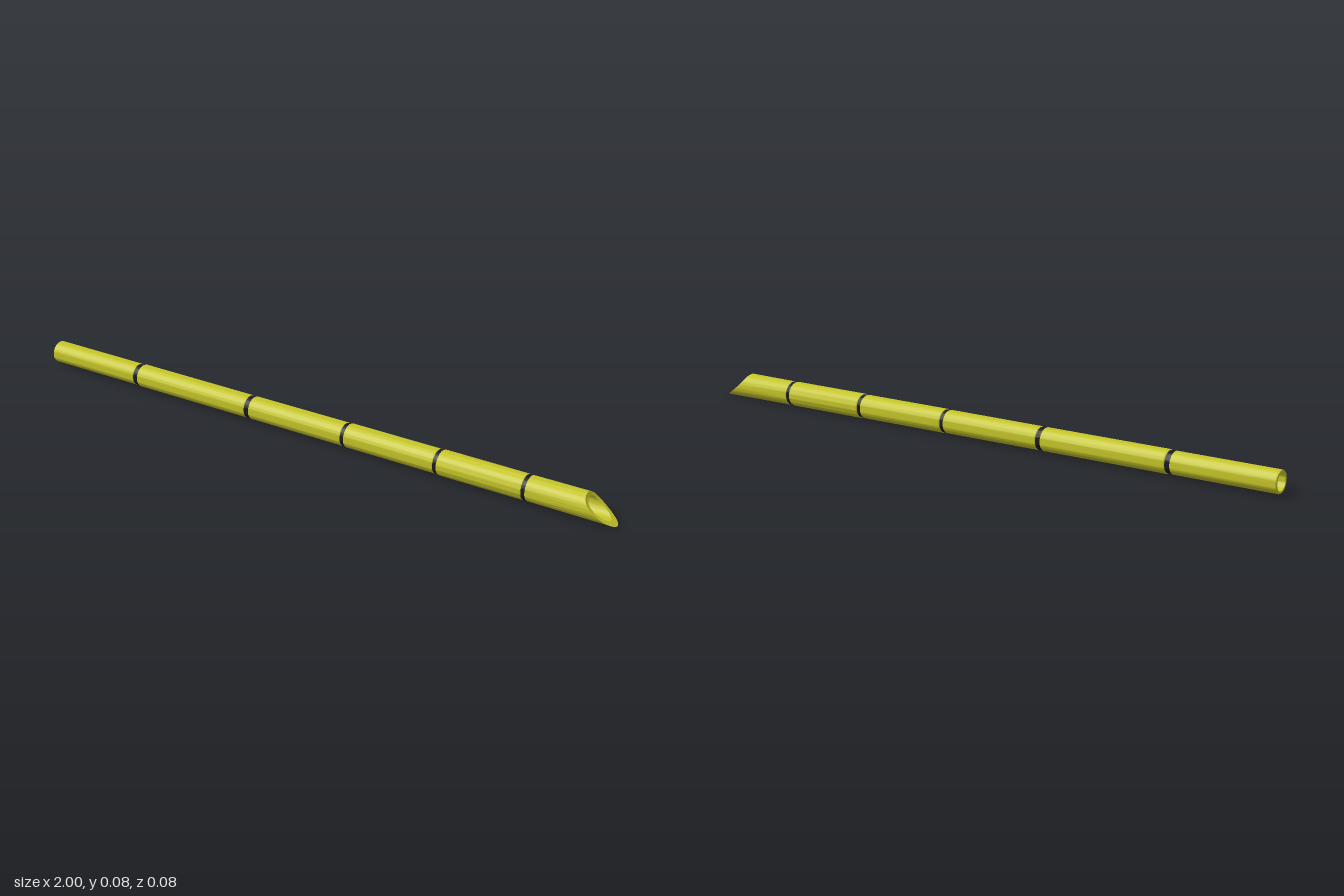
import * as THREE from 'three';
import { toCreasedNormals } from 'three/addons/utils/BufferGeometryUtils.js';

const AXIS_Y = 0.0395;
const TIP_RADIUS = 0.0395;
const caneMaterial = new THREE.MeshStandardMaterial({ color: 0xc6c62a });
const jointMaterial = new THREE.MeshStandardMaterial({ color: 0x1c1a1c });

// Hollow tube along x from a closed [radius, x] profile
function tube(name, profile, material, warp) {
  const points = [...profile, profile[0]].map(([r, x]) => new THREE.Vector2(r, x));
  let geometry = new THREE.LatheGeometry(points, 48);
  geometry.rotateZ(-Math.PI / 2);
  if (warp) {
    const p = geometry.attributes.position;
    for (let i = 0; i < p.count; i++) p.setX(i, warp(p.getX(i), p.getY(i)));
  }
  geometry = toCreasedNormals(geometry, 0.4);
  const mesh = new THREE.Mesh(geometry, material);
  mesh.name = name;
  mesh.position.y = AXIS_Y;
  return mesh;
}

// Concave diagonal cut: how far the tip reaches at height y
function cutX(y) {
  const t = (TIP_RADIUS - y) / (2 * TIP_RADIUS);
  return 0.905 + 0.095 * (0.35 * t + 0.65 * t * t);
}

export function createModel() {
  const group = new THREE.Group();
  group.name = 'cane';

  const joints = [-0.662, -0.231, 0.117, 0.435, 0.722];
  const widths = [0.015, 0.014, 0.011, 0.011, 0.01];
  // [start radius, end radius, inner radius] of each segment
  const radii = [
    [0.0345, 0.0345, 0.0265], [0.036, 0.036, 0.027], [0.036, 0.0365, 0.0275],
    [0.0375, 0.0375, 0.028], [0.039, 0.039, 0.0285], [0.0385, TIP_RADIUS, 0.0285],
  ];

  // Cane segments with slightly bevelled ends
  const bevel = 0.003;
  radii.forEach(([r0, r1, inner], i) => {
    const a = i === 0 ? -1 : joints[i - 1] + widths[i - 1] / 2;
    if (i < 5) {
      const b = joints[i] - widths[i] / 2;
      group.add(tube('segment' + (i + 1), [
        [inner, a], [r0 - bevel / 2, a], [r0, a + bevel],
        [r1, b - bevel], [r1 - bevel / 2, b], [inner, b],
      ], caneMaterial));
    } else {
      // Last segment, its end stretched to follow the diagonal cut
      group.add(tube('cutTip', [
        [inner, a], [r0 - bevel / 2, a], [r0, a + bevel], [r1, 1], [0.034, 1], [inner, 1],
      ], caneMaterial, (x, y) => a + (x - a) / (1 - a) * (cutX(y) - a)));
    }
  });

  // Dark joint rings, recessed outside and projecting into the bore
  joints.forEach((x, i) => {
    const r = radii[i][1] - 0.001, h = widths[i] / 2 + 0.001;
    group.add(tube('jointRing' + (i + 1), [
      [0.0237, x - h], [r, x - h], [r, x + h], [0.0237, x + h],
    ], jointMaterial));
  });

  return group;
}
